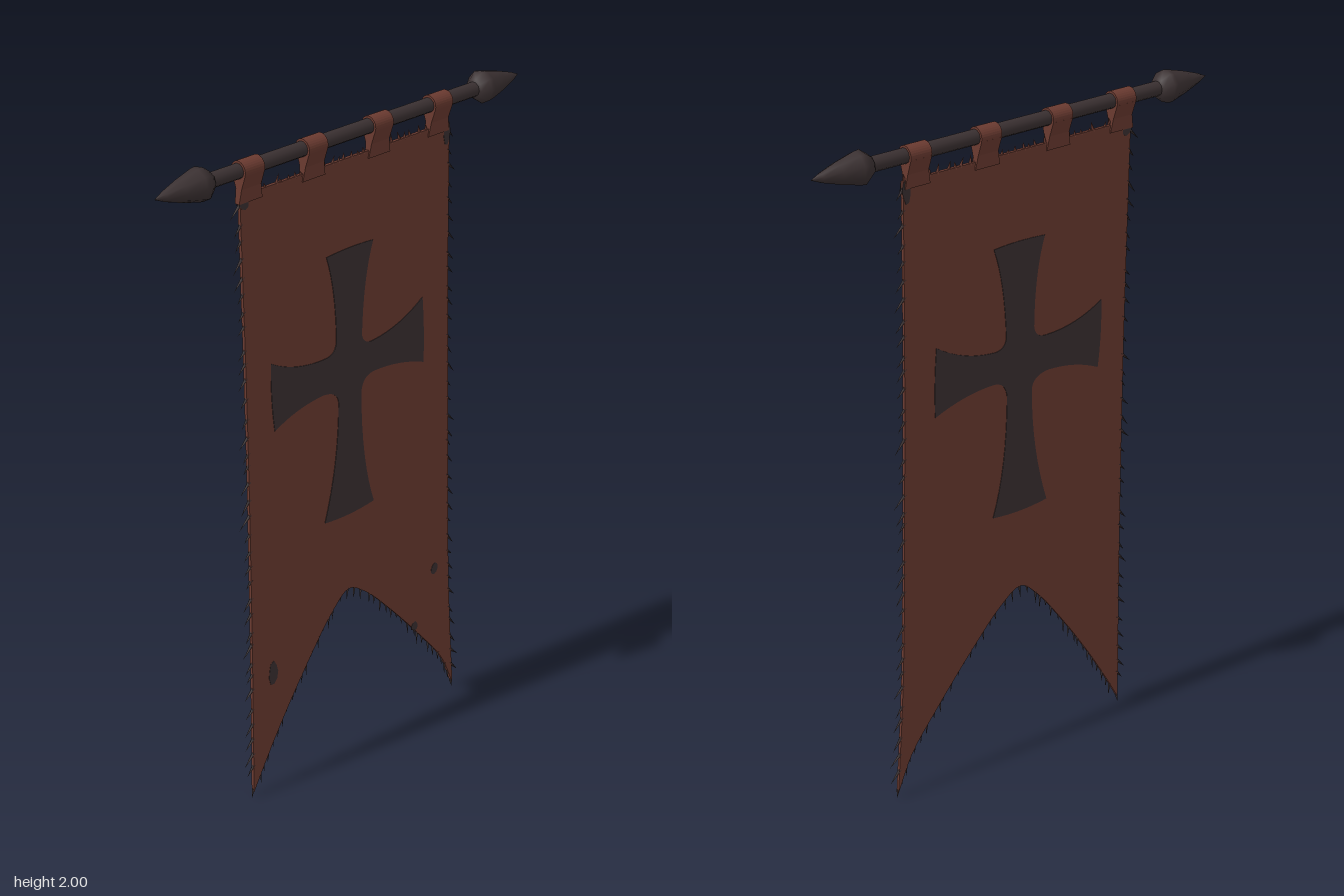
import * as THREE from 'three';
import { mergeGeometries } from 'three/addons/utils/BufferGeometryUtils.js';

const cloth = new THREE.MeshStandardMaterial({ color: 0x6a3a30 });
cloth.name = 'rust cloth';
const dark = new THREE.MeshStandardMaterial({ color: 0x3a3031 });
dark.name = 'charcoal';

const ROD_Y = 1.953;
const HALF = 0.005; // half the cloth thickness

let seed = 7;
const rand = () => (seed = (seed * 16807) % 2147483647) / 2147483647;

function add(parent, name, geometry, material) {
  const mesh = new THREE.Mesh(geometry, material);
  mesh.name = name;
  parent.add(mesh);
  return mesh;
}

// Flat slab of a shape, from z0 to z0 + depth
function slab(shape, z0, depth) {
  const g = new THREE.ExtrudeGeometry(shape, { depth, bevelEnabled: false, curveSegments: 8 });
  return g.translate(0, 0, z0);
}

// Thin tapered thread from a root point, pointing along (dx, dy)
function thread(x, y, dx, dy, length, radius) {
  const g = new THREE.ConeGeometry(radius, length, 4);
  g.translate(0, length / 2, 0);
  g.rotateZ(Math.atan2(-dx, dy));
  return g.translate(x, y, 0);
}

// Rounded blob used for the worn patches
function blob(x, y, w, h) {
  const pts = [];
  for (let i = 0; i < 9; i++) {
    const a = (i / 9) * Math.PI * 2;
    const r = 0.8 + 0.35 * rand();
    pts.push(new THREE.Vector2(x + Math.cos(a) * w * r, y + Math.sin(a) * h * r));
  }
  return new THREE.Shape(pts);
}

export function createModel() {
  const banner = new THREE.Group();
  banner.name = 'banner';

  // Rod
  const rod = new THREE.CylinderGeometry(0.021, 0.021, 1.02, 10).rotateZ(Math.PI / 2);
  add(banner, 'rod', rod, dark).position.y = ROD_Y;

  // Pointed finials at both ends
  const tipProfile = [[0, 0.485], [0.029, 0.49], [0.047, 0.515], [0.045, 0.53], [0.031, 0.585], [0.014, 0.638], [0, 0.67]]
    .map(([r, y]) => new THREE.Vector2(r, y));
  for (const side of [1, -1]) {
    const tip = new THREE.LatheGeometry(tipProfile, 9).rotateZ(-side * Math.PI / 2);
    add(banner, side > 0 ? 'leftFinial' : 'rightFinial', tip, dark).position.y = ROD_Y;
  }

  // Hanging loops: a teardrop band around the rod, closing onto the cloth
  const band = new THREE.Shape();
  band.moveTo(0.008, -0.09);
  band.lineTo(0.011, -0.05);
  band.lineTo(0.026, -0.008);
  band.absarc(0, 0, 0.027, -0.3, Math.PI + 0.3, false);
  band.lineTo(-0.011, -0.05);
  band.lineTo(-0.008, -0.09);
  for (const x of [-0.355, -0.13, 0.113, 0.343]) {
    const g = slab(band, -0.034, 0.068).rotateY(Math.PI / 2);
    const p = g.attributes.position;
    for (let i = 0; i < p.count; i++) { // flare slightly towards the cloth
      if (p.getY(i) < -0.08) p.setX(i, p.getX(i) * 1.2);
    }
    add(banner, 'loop', g, cloth).position.set(x, ROD_Y, 0);
  }

  // Swallow-tailed cloth
  const leftEdge = new THREE.CatmullRomCurve3([[0.388, 1.885], [0.393, 1.5], [0.408, 0.9], [0.425, 0.4], [0.452, 0.02]]
    .map(([x, y]) => new THREE.Vector3(x, y, 0)));
  const rightEdge = new THREE.CatmullRomCurve3([[-0.385, 0.02], [-0.38, 0.5], [-0.38, 1.2], [-0.39, 1.885]]
    .map(([x, y]) => new THREE.Vector3(x, y, 0)));
  const notch = new THREE.CatmullRomCurve3([[0.452, 0.02], [0.4, 0.135], [0.31, 0.25], [0.17, 0.41], [0.07, 0.51], [0, 0.55],
    [-0.06, 0.505], [-0.18, 0.35], [-0.28, 0.2], [-0.34, 0.1], [-0.385, 0.02]]
    .map(([x, y]) => new THREE.Vector3(x, y, 0)));
  const outline = [...leftEdge.getPoints(12), ...notch.getPoints(40).slice(1), ...rightEdge.getPoints(12).slice(1)]
    .map((p) => new THREE.Vector2(p.x, p.y));
  add(banner, 'cloth', slab(new THREE.Shape(outline), -HALF, HALF * 2), cloth);

  // Flared cross on both faces
  const cross = new THREE.Shape();
  cross.moveTo(-0.085, 1.622);
  cross.quadraticCurveTo(0.01, 1.63, 0.092, 1.622);
  cross.quadraticCurveTo(0.055, 1.52, 0.05, 1.35);
  cross.quadraticCurveTo(0.055, 1.318, 0.09, 1.318);
  cross.quadraticCurveTo(0.2, 1.325, 0.29, 1.388);
  cross.quadraticCurveTo(0.3, 1.29, 0.298, 1.182);
  cross.quadraticCurveTo(0.2, 1.222, 0.1, 1.222);
  cross.quadraticCurveTo(0.052, 1.222, 0.048, 1.17);
  cross.quadraticCurveTo(0.05, 0.95, 0.1, 0.806);
  cross.quadraticCurveTo(0, 0.792, -0.095, 0.806);
  cross.quadraticCurveTo(-0.04, 0.98, -0.04, 1.17);
  cross.quadraticCurveTo(-0.045, 1.21, -0.1, 1.213);
  cross.quadraticCurveTo(-0.2, 1.21, -0.282, 1.168);
  cross.quadraticCurveTo(-0.296, 1.27, -0.292, 1.375);
  cross.quadraticCurveTo(-0.2, 1.32, -0.09, 1.322);
  cross.quadraticCurveTo(-0.052, 1.322, -0.048, 1.36);
  cross.quadraticCurveTo(-0.05, 1.52, -0.085, 1.622);
  add(banner, 'frontCross', slab(cross, HALF, 0.0015), dark);
  add(banner, 'backCross', slab(cross, -HALF - 0.0015, 0.0015), dark);

  // Worn dark patches: corners on both faces, the lower ones on the front
  for (const [x, y, w, h, both] of [[-0.376, 1.865, 0.018, 0.022, true], [0.378, 1.855, 0.014, 0.034, true],
    [-0.302, 0.395, 0.018, 0.036, false], [0.36, 0.468, 0.014, 0.02, false], [0.278, 0.3, 0.014, 0.016, false]]) {
    const shape = blob(x, y, w, h);
    add(banner, 'wornPatch', slab(shape, HALF, 0.001), dark);
    if (both) add(banner, 'wornPatch', slab(shape, -HALF - 0.001, 0.001), dark);
  }

  // Frayed threads slanting out and down along both sides
  const sideThreads = [];
  for (const [edge, side] of [[leftEdge, 1], [rightEdge, -1]]) {
    for (let i = 0; i < 36; i++) {
      const p = edge.getPointAt((i + 0.3 + 0.4 * rand()) / 36);
      if (p.y < 0.06) continue;
      const length = 0.032 + 0.026 * rand();
      sideThreads.push(thread(p.x - side * 0.006, p.y + 0.008, side * (0.6 + 0.3 * rand()), -0.8, length, 0.0065));
    }
  }
  add(banner, 'sideFringe', mergeGeometries(sideThreads), dark);

  // Threads hanging from the notch, and the two tail ends
  const notchThreads = [thread(0.449, 0.03, 0.2, -1, 0.03, 0.006), thread(-0.383, 0.03, -0.2, -1, 0.03, 0.006)];
  for (let i = 1; i < 38; i++) {
    const p = notch.getPointAt((i + 0.5 * rand()) / 39);
    const length = Math.min(0.018 + 0.032 * rand(), p.y);
    notchThreads.push(thread(p.x, p.y + 0.006, 0.2 * (rand() - 0.5), -1, length, 0.0055));
  }
  add(banner, 'notchFringe', mergeGeometries(notchThreads), dark);

  // Ragged tufts along the top hem
  const tufts = [];
  for (let i = 0; i < 30; i++) {
    const x = -0.375 + (i + 0.6 * rand()) * 0.0255;
    tufts.push(thread(x, 1.88, 0.8 * (rand() - 0.5), 1, 0.014 + 0.016 * rand(), 0.007));
  }
  add(banner, 'topFray', mergeGeometries(tufts), cloth);

  return banner;
}
